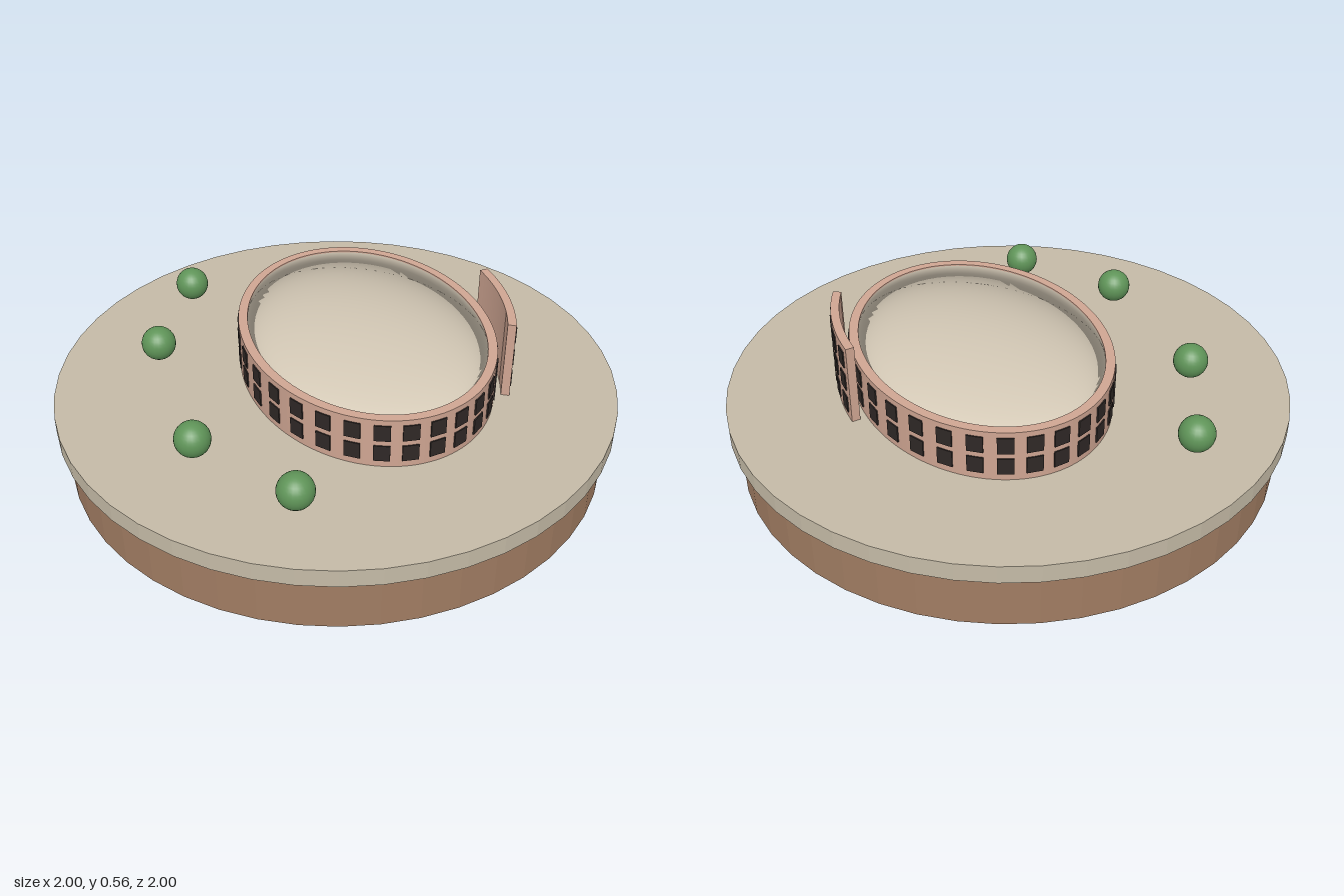
import * as THREE from 'three';

const mat = (name, color) => {
  const m = new THREE.MeshStandardMaterial({ color });
  m.name = name;
  return m;
};

const GROUND = 0.265;
const TILT = THREE.MathUtils.degToRad(20);

export function createModel() {
  const earth = mat('earth brown', 0xa07c62);
  const paving = mat('paving beige', 0xc4baa6);
  const brick = mat('brick pink', 0xcfa592);
  const glass = mat('window dark', 0x2f2826);
  const roofing = mat('roof sand', 0xd6cbb8);
  roofing.side = THREE.DoubleSide;
  const leaf = mat('leaf green', 0x5f9458);

  const model = new THREE.Group();
  const add = (parent, name, geometry, material, x = 0, y = 0, z = 0) => {
    const mesh = new THREE.Mesh(geometry, material);
    mesh.name = name;
    mesh.position.set(x, y, z);
    parent.add(mesh);
    return mesh;
  };

  // Faceted disc with crisp vertical facets
  const disc = (radius, height) => {
    const g = new THREE.CylinderGeometry(radius, radius, height, 48).toNonIndexed();
    g.computeVertexNormals();
    return g;
  };
  add(model, 'earthBase', disc(0.97, 0.2), earth, 0, 0.1, 0);
  add(model, 'pavedPlaza', disc(1, GROUND - 0.2), paving, 0, (GROUND + 0.2) / 2, 0);

  // Everything in the building shares one turned ellipse frame
  const building = new THREE.Group();
  building.name = 'building';
  building.position.set(0.035, 0, -0.105);
  building.rotation.y = -TILT;
  model.add(building);

  // Raises a plan shape (x, z) from the plaza up to a given height
  const raise = (shape, top, curveSegments) =>
    new THREE.ExtrudeGeometry(shape, { depth: top - GROUND, bevelEnabled: false, curveSegments })
      .rotateX(Math.PI / 2)
      .translate(0, top, 0);

  // Window plate set on the outside of an ellipse at parameter t
  const addWindow = (parent, a, b, t, y, width, height) => {
    const pane = add(parent, 'window', new THREE.BoxGeometry(width, height, 0.008), glass,
      a * Math.cos(t), y, b * Math.sin(t));
    pane.rotation.y = Math.atan2(Math.cos(t) / a, Math.sin(t) / b);
  };

  // Oval ring wall
  const A = 0.58, B = 0.44, THICK = 0.033, WALL_TOP = 0.45;
  const ring = new THREE.Shape().absellipse(0, 0, A, B, 0, Math.PI * 2);
  ring.holes.push(new THREE.Path().absellipse(0, 0, A - THICK, B - THICK, 0, Math.PI * 2));
  add(building, 'ringWall', raise(ring, WALL_TOP, 64), brick);

  const ringWindows = new THREE.Group();
  ringWindows.name = 'ringWindows';
  building.add(ringWindows);
  const COUNT = 30;
  for (let i = 0; i < COUNT; i++) {
    for (const y of [0.32, 0.4]) {
      addWindow(ringWindows, A, B, ((i + 0.5) / COUNT) * Math.PI * 2, y, 0.055, 0.06);
    }
  }

  // Dished roof: a shallow dome sunk below its rim, keeping the dome's soft shading
  const dish = new THREE.SphereGeometry(1, 64, 24, 0, Math.PI * 2, 0, Math.PI / 2)
    .scale(A - THICK, 0.14, B - THICK);
  const p = dish.attributes.position;
  for (let i = 0; i < p.count; i++) p.setY(i, -p.getY(i));
  add(building, 'dishedRoof', dish, roofing, 0, WALL_TOP - 0.005, 0);

  // Tall curved screen wall behind the ring
  const SA = 0.635, SB = 0.495, SCREEN_TOP = 0.555;
  const t0 = THREE.MathUtils.degToRad(-95.5), t1 = THREE.MathUtils.degToRad(-59);
  const screen = new THREE.Shape()
    .absellipse(0, 0, SA, SB, t0, t1, false)
    .absellipse(0, 0, SA - 0.03, SB - 0.03, t1, t0, true);
  add(building, 'screenWall', raise(screen, SCREEN_TOP, 16), brick);

  const screenWindows = new THREE.Group();
  screenWindows.name = 'screenWindows';
  building.add(screenWindows);
  for (let i = 0; i < 4; i++) {
    for (const y of [0.32, 0.41, 0.5]) {
      addWindow(screenWindows, SA, SB, t0 + ((i + 0.5) / 4) * (t1 - t0), y, 0.05, 0.062);
    }
  }

  // Round trees on the plaza
  const crown = new THREE.SphereGeometry(0.062, 24, 16);
  for (const [x, z] of [[-0.755, 0.13], [-0.465, 0.455], [0.09, 0.66], [0.5, 0.548]]) {
    add(model, 'tree', crown, leaf, x, 0.338, z);
  }

  return model;
}
